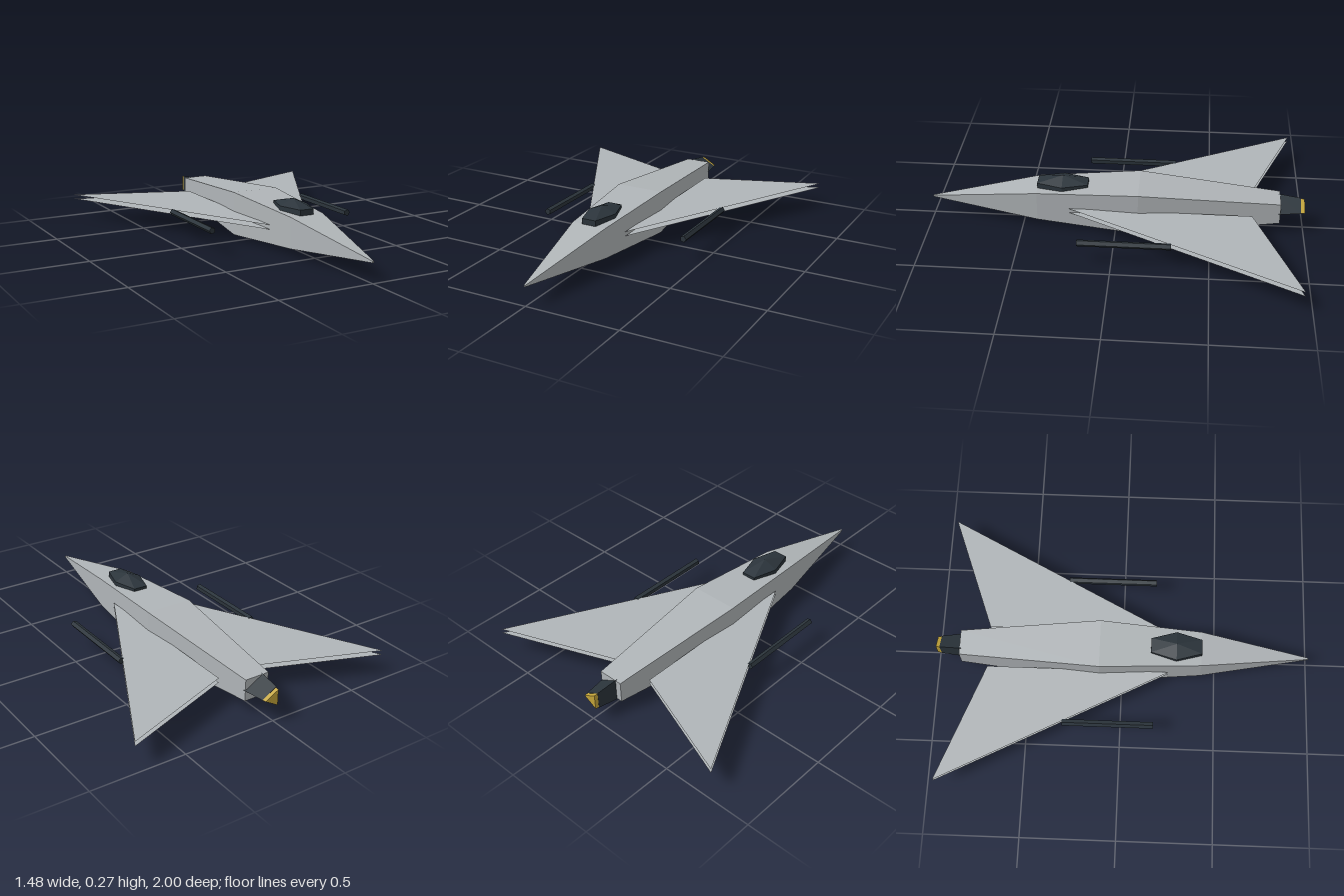
import * as THREE from 'three';

const mat = (name, color, extra = {}) => {
  const m = new THREE.MeshStandardMaterial({ color, flatShading: true, ...extra });
  m.name = name;
  return m;
};

// Square-section hull from [z, halfWidth, bottom, top] stations, back to front
function hullGeometry(stations) {
  const pos = [], index = [];
  for (const [z, w, b, t] of stations) pos.push(-w, b, z, w, b, z, w, t, z, -w, t, z);
  for (let s = 0; s < stations.length - 1; s++) {
    for (let i = 0; i < 4; i++) {
      const a = s * 4 + i, b = s * 4 + (i + 1) % 4;
      index.push(a, b, b + 4, a, b + 4, a + 4);
    }
  }
  const e = (stations.length - 1) * 4;
  index.push(0, 3, 2, 0, 2, 1, e, e + 1, e + 2, e, e + 2, e + 3);
  const g = new THREE.BufferGeometry();
  g.setAttribute('position', new THREE.Float32BufferAttribute(pos, 3));
  g.setIndex(index);
  const flat = g.toNonIndexed();
  flat.computeVertexNormals();
  return flat;
}

// Cylinder along z with one corner pointing to +x (side = 1) or -x (side = -1)
function rod(rBack, rFront, zBack, zFront, sides, side = 1) {
  const g = new THREE.CylinderGeometry(rFront, rBack, zFront - zBack, sides, 1, false, side * Math.PI / 2);
  g.rotateX(Math.PI / 2);
  g.translate(0, 0, (zBack + zFront) / 2);
  return g;
}

export function createModel() {
  const hullGrey = mat('hull grey', 0xb0b5b8);
  const wingGrey = mat('wing grey', 0xb0b5b8, { side: THREE.DoubleSide });
  const dark = mat('dark slate', 0x2b343b);
  const gold = mat('exhaust gold', 0xc4a53a);

  const group = new THREE.Group();
  const add = (name, geometry, material, x = 0, y = 0, z = 0) => {
    const m = new THREE.Mesh(geometry, material);
    m.name = name;
    m.position.set(x, y, z);
    group.add(m);
    return m;
  };

  // Fuselage
  add('fuselage', hullGeometry([
    [-0.87, 0.068, 0.064, 0.18],
    [-0.12, 0.13, 0, 0.236],
    [0.42, 0.095, 0.042, 0.205],
    [1, 0.004, 0.1, 0.108],
  ]), hullGrey);

  // Faceted canopy
  const canopy = new THREE.SphereGeometry(1, 6, 3);
  canopy.scale(0.09, 0.066, 0.18);
  add('canopy', canopy, dark, 0, 0.202, 0.287);

  // Three-sided engine nozzle and its glowing end
  add('nozzle', rod(0.054, 0.072, -0.98, -0.86, 3), dark, 0, 0.121);
  add('exhaust', rod(0.049, 0.052, -1, -0.979, 3), gold, 0, 0.121);

  for (const side of [1, -1]) {
    const label = side > 0 ? 'left' : 'right';

    // Swept wing made of two thin skins
    const outline = new THREE.Shape([
      new THREE.Vector2(side * 0.113, 0.25),
      new THREE.Vector2(side * 0.74, -0.955),
      new THREE.Vector2(side * 0.113, -0.72),
    ]);
    const skin = new THREE.ShapeGeometry(outline);
    skin.rotateX(Math.PI / 2);
    add(label + 'WingTop', skin, wingGrey, 0, 0.131);
    add(label + 'WingBottom', skin, wingGrey, 0, 0.107);

    // Gun barrel at mid-wing
    add(label + 'Barrel', rod(0.018, 0.018, -0.305, 0.175, 5, side), dark, side * 0.407, 0.121);
  }
  return group;
}
